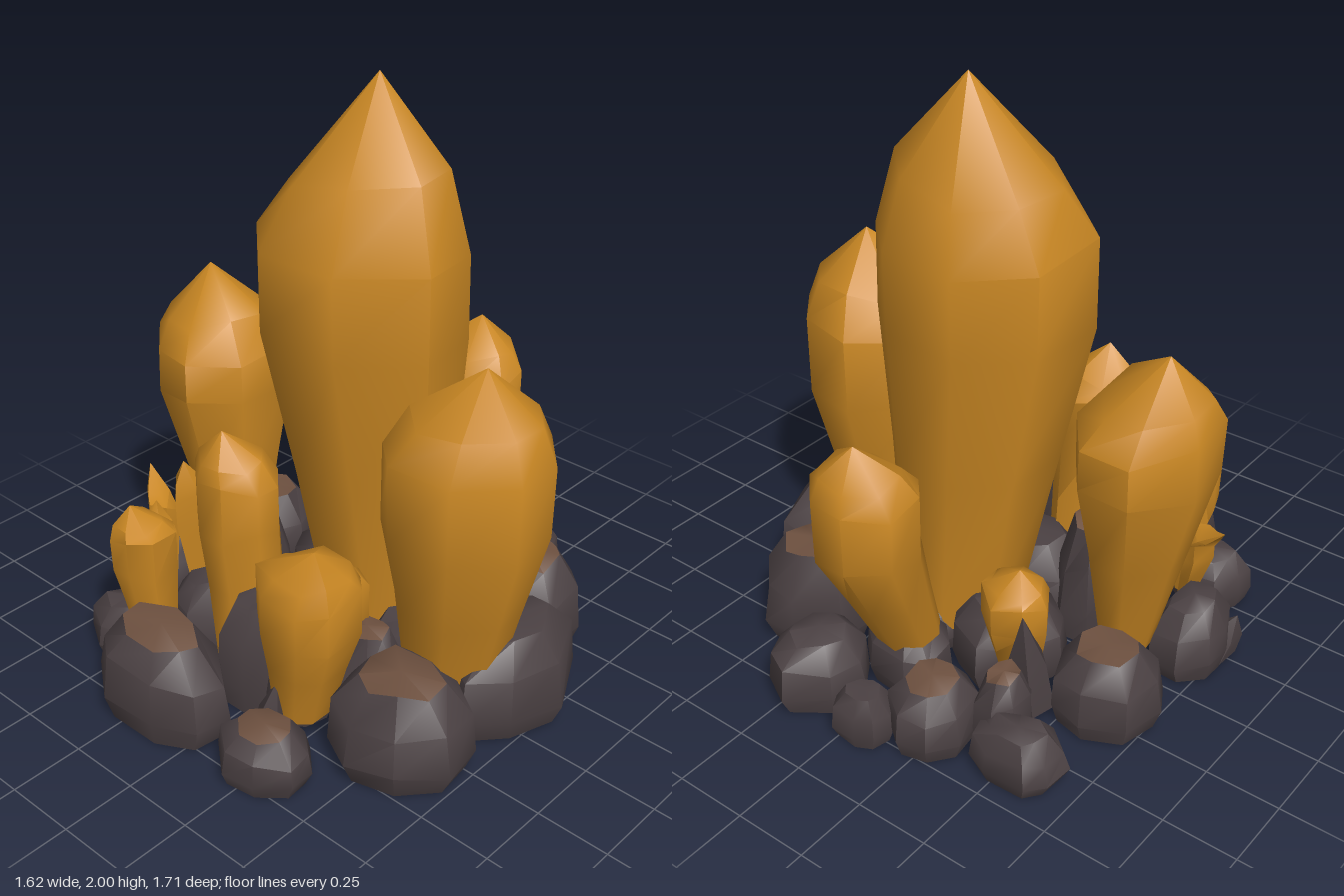
import * as THREE from 'three';
import { toCreasedNormals } from 'three/addons/utils/BufferGeometryUtils.js';

// Repeatable noise in the range -1..1
let seed = 7;
function noise() {
  seed = (seed * 16807) % 2147483647;
  return (seed / 2147483647) * 2 - 1;
}

// Closed solid through rings of [x, y, z, rx, rz, yJitter]; group 1 is the top fan
function loft(rings, top, sides, jitter, turn, crease) {
  const pos = [], body = [], cap = [];
  const sway = Array.from({ length: sides }, () => [noise() * 0.18, 1 + noise() * jitter]);
  for (const [x, y, z, rx, rz, lift = 0] of rings) {
    for (let i = 0; i < sides; i++) {
      const a = ((i + sway[i][0]) / sides) * Math.PI * 2 + turn;
      const k = sway[i][1] * (1 + noise() * jitter * 0.5);
      pos.push(x + Math.cos(a) * rx * k, y + noise() * lift, z + Math.sin(a) * rz * k);
    }
  }
  const topId = rings.length * sides, bottomId = topId + 1;
  pos.push(...top, rings[0][0], rings[0][1], rings[0][2]);
  for (let i = 0; i < sides; i++) {
    const n = (i + 1) % sides;
    for (let r = 0; r < rings.length - 1; r++) {
      const a = r * sides + i, b = r * sides + n;
      body.push(a, a + sides, b, b, a + sides, b + sides);
    }
    const last = (rings.length - 1) * sides;
    body.push(i, n, bottomId);
    cap.push(last + i, topId, last + n);
  }
  const g = new THREE.BufferGeometry();
  g.setAttribute('position', new THREE.Float32BufferAttribute(pos, 3));
  g.setIndex([...body, ...cap]);
  g.addGroup(0, body.length, 0);
  g.addGroup(body.length, cap.length, 1);
  return toCreasedNormals(g, crease);
}

// Pointed crystal: narrow foot, wide band from low to high, shoulder, tip
function crystalGeometry({ base, foot, low, high, mid, r, tip, sides = 8 }) {
  const [mx, mz] = mid, [rx, rz] = r;
  const s = 0.4, sy = high + (tip[1] - high) * s;
  const half = (a, b) => a * 0.45 + b * 0.55;
  const rings = [
    [base[0], base[1], base[2], foot, foot],
    [half(base[0], mx), half(base[1], low), half(base[2], mz), half(foot, rx) * 0.98, half(foot, rz) * 0.98],
    [mx, low, mz, rx, rz, 0.02],
    [mx, high, mz, rx, rz, 0.03],
    [mx + (tip[0] - mx) * s, sy, mz + (tip[2] - mz) * s, rx * 0.75, rz * 0.75, (tip[1] - high) * 0.1],
  ];
  return loft(rings, tip, sides, 0.035, Math.PI / 8, 0.9);
}

// Boulder: tucked-in foot, bulging side, rounded-off top
function rockGeometry(x, z, rx, rz, h, y0 = 0) {
  const y = t => y0 + (h - y0) * t;
  const rings = [
    [x, y(0), z, rx * 0.85, rz * 0.85],
    [x, y(0.25), z, rx * 0.99, rz * 0.99, h * 0.05],
    [x, y(0.65), z, rx * 0.92, rz * 0.92, h * 0.07],
    [x, y(0.95), z, rx * 0.56, rz * 0.56, h * 0.05],
  ];
  return loft(rings, [x, h, z], 8, 0.07, noise() * 0.4, 0.75);
}

export function createModel() {
  const group = new THREE.Group();
  const material = (name, color) => {
    const m = new THREE.MeshStandardMaterial({ color });
    m.name = name;
    return m;
  };
  const amber = material('amber crystal', 0xc98723);
  const stone = material('dark stone', 0x4b4143);
  const earth = material('brown stone', 0x6e5140);
  const add = (name, geometry, mat) => {
    const mesh = new THREE.Mesh(geometry, mat);
    mesh.name = name;
    group.add(mesh);
  };

  // Crystals
  const crystals = {
    mainCrystal: { base: [0.06, 0.1, -0.12], foot: 0.2, low: 1.2, high: 1.48, mid: [-0.015, -0.08], r: [0.345, 0.335], tip: [-0.01, 2, -0.15] },
    rightCrystal: { base: [-0.53, 0.12, 0.0], foot: 0.09, low: 0.82, high: 0.98, mid: [-0.59, -0.02], r: [0.225, 0.25], tip: [-0.65, 1.235, -0.02] },
    leftCrystal: { base: [0.48, 0.1, 0.04], foot: 0.15, low: 0.74, high: 0.99, mid: [0.54, 0.05], r: [0.26, 0.275], tip: [0.58, 1.285, 0.04] },
    backCrystal: { base: [0.02, 0.1, -0.42], foot: 0.1, low: 0.62, high: 0.83, mid: [0.01, -0.64], r: [0.175, 0.165], tip: [0.0, 1.01, -0.69] },
    frontCrystal: { base: [-0.14, 0.1, 0.33], foot: 0.13, low: 0.6, high: 0.77, mid: [-0.155, 0.36], r: [0.15, 0.135], tip: [-0.17, 0.94, 0.4] },
    frontLeftCrystal: { base: [0.21, 0.1, 0.45], foot: 0.1, low: 0.44, high: 0.59, mid: [0.245, 0.45], r: [0.175, 0.16], tip: [0.3, 0.74, 0.48] },
    frontRightCrystal: { base: [-0.4, 0.1, 0.52], foot: 0.07, low: 0.37, high: 0.5, mid: [-0.44, 0.52], r: [0.11, 0.11], tip: [-0.49, 0.59, 0.53], sides: 7 },
    backRightCrystal: { base: [-0.3, 0.08, -0.27], foot: 0.08, low: 0.32, high: 0.41, mid: [-0.33, -0.33], r: [0.12, 0.11], tip: [-0.35, 0.52, -0.34], sides: 7 },
    backLeftCrystal: { base: [0.22, 0.08, -0.25], foot: 0.08, low: 0.32, high: 0.42, mid: [0.25, -0.3], r: [0.1, 0.1], tip: [0.27, 0.54, -0.32], sides: 7 },
    innerCrystal: { base: [0.1, 0.1, 0.16], foot: 0.07, low: 0.3, high: 0.42, mid: [0.17, 0.22], r: [0.09, 0.08], tip: [0.2, 0.55, 0.25], sides: 6 },
  };
  for (const [name, c] of Object.entries(crystals)) add(name, crystalGeometry(c), amber);

  // Slim splinters beside the right crystal
  const splinters = [
    [[-0.55, 0.1, 0.34], [-0.62, 0.28], [-0.75, 0.51, 0.22], 0.055],
    [[-0.52, 0.1, 0.38], [-0.53, 0.38], [-0.56, 0.5, 0.36], 0.06],
    [[-0.4, 0.1, 0.3], [-0.43, 0.32], [-0.43, 0.7, 0.34], 0.06],
  ];
  for (const [base, mid, tip, r] of splinters) {
    const low = tip[1] * 0.65, high = tip[1] * 0.8;
    add('splinter', crystalGeometry({ base, foot: 0.03, low, high, mid, r: [r, r], tip, sides: 5 }), amber);
  }

  // Boulders: x, z, rx, rz, height, brown top
  const rocks = [
    [-0.19, 0.68, 0.29, 0.175, 0.35, 1],
    [0.26, 0.67, 0.17, 0.15, 0.19, 1],
    [0.53, 0.34, 0.25, 0.22, 0.34, 1],
    [0.62, -0.1, 0.19, 0.28, 0.35, 0],
    [0.43, -0.44, 0.21, 0.2, 0.36, 1],
    [0.2, -0.68, 0.16, 0.18, 0.25, 0],
    [-0.23, -0.63, 0.145, 0.16, 0.24, 1],
    [-0.05, -0.75, 0.1, 0.1, 0.17, 0],
    [-0.54, -0.6, 0.16, 0.12, 0.18, 0],
    [-0.41, -0.5, 0.09, 0.11, 0.26, 1],
    [-0.6, -0.22, 0.18, 0.18, 0.28, 1],
    [-0.68, 0.18, 0.13, 0.18, 0.27, 0],
    [-0.54, 0.52, 0.15, 0.13, 0.2, 0],
    [-0.01, 0.42, 0.13, 0.14, 0.42, 0],
    [0.13, 0.38, 0.12, 0.13, 0.27, 0],
    [-0.34, 0.33, 0.13, 0.14, 0.3, 0],
    [-0.32, 0.12, 0.13, 0.13, 0.46, 1],
    [0.28, 0.22, 0.13, 0.13, 0.32, 1],
    [-0.04, 0.12, 0.24, 0.2, 0.3, 0],
    [0.16, -0.2, 0.24, 0.22, 0.26, 0],
    [-0.2, -0.2, 0.2, 0.2, 0.27, 0],
    [0.02, -0.45, 0.17, 0.14, 0.23, 0],
    [0.3, 0.03, 0.18, 0.16, 0.25, 0],
  ];
  for (const [x, z, rx, rz, h, brown] of rocks) {
    add('boulder', rockGeometry(x, z, rx, rz, h), [stone, brown ? earth : stone]);
  }

  // Pointed stones on the right rim and behind the front crystals
  const spikes = [
    [[-0.72, 0, 0.26], [-0.78, 0.15, 0.3], 0.08],
    [[-0.37, 0.05, 0.2], [-0.33, 0.56, 0.22], 0.08],
    [[-0.42, 0.05, -0.36], [-0.42, 0.42, -0.42], 0.08],
    [[0.16, 0.0, 0.56], [0.2, 0.25, 0.55], 0.07],
  ];
  for (const [b, t, r] of spikes) {
    const rings = [[...b, r, r], [(b[0] + t[0]) / 2, (b[1] + t[1]) / 2, (b[2] + t[2]) / 2, r * 0.8, r * 0.8]];
    add('pointedStone', loft(rings, t, 5, 0.1, 0.3, 0.5), [stone, stone]);
  }
  return group;
}
